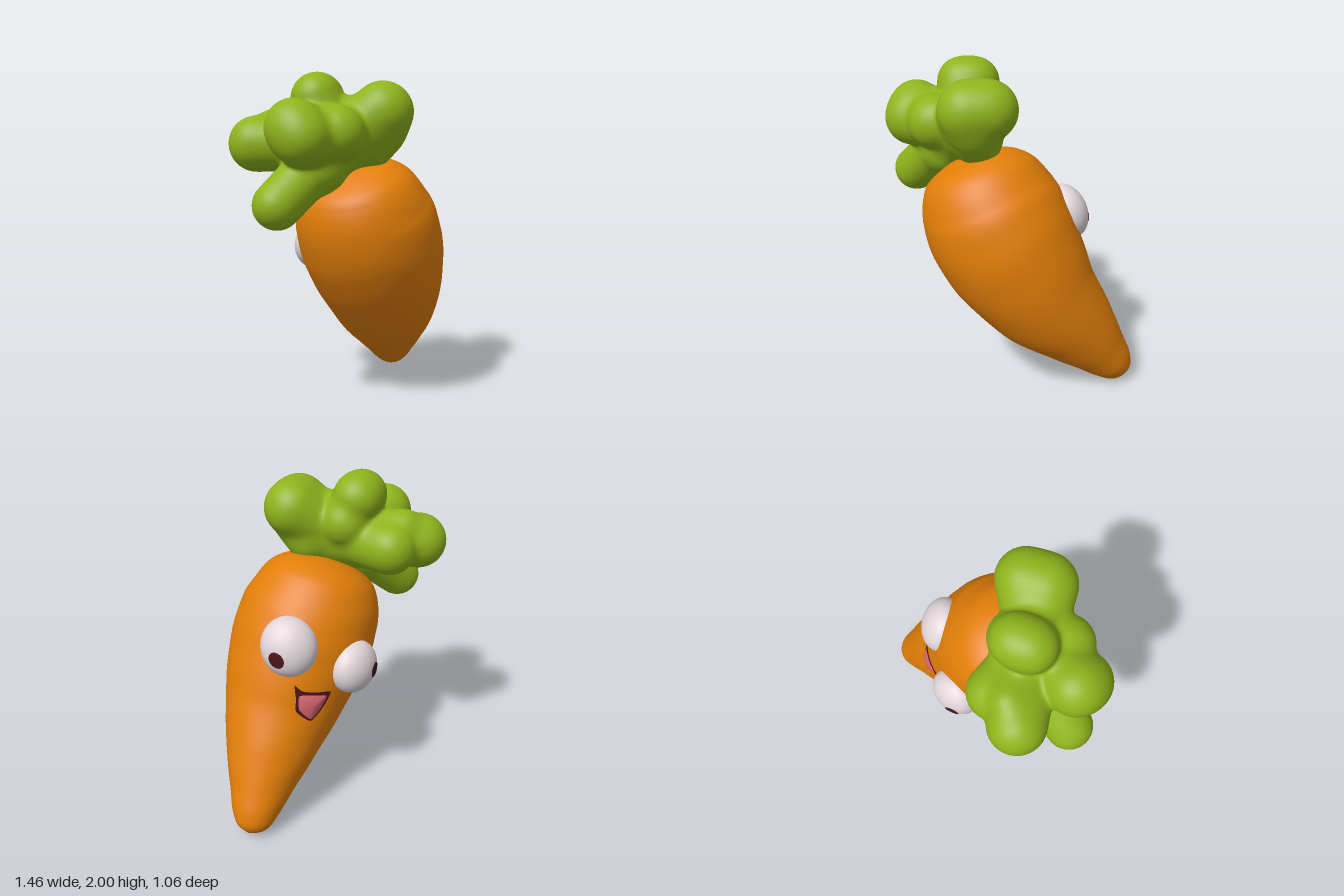
import * as THREE from 'three';
import { mergeVertices } from 'three/addons/utils/BufferGeometryUtils.js';

const V = (x, y, z) => new THREE.Vector3(x, y, z);
const paint = (name, color) => {
  const m = new THREE.MeshStandardMaterial({ color });
  m.name = name;
  return m;
};
// drops the seam so that normals run smoothly all around
const smooth = geometry => {
  geometry.deleteAttribute('uv');
  geometry.deleteAttribute('normal');
  const merged = mergeVertices(geometry, 1e-5);
  merged.computeVertexNormals();
  return merged;
};

export function createModel() {
  const orange = paint('carrot orange', 0xe27e08);
  const green = paint('leaf green', 0x8fb31c);
  const white = paint('eye white', 0xe0d5da);
  const dark = paint('dark maroon', 0x4a1519);
  const pink = paint('tongue pink', 0xcf626b);

  const model = new THREE.Group();
  const add = (parent, name, geometry, material) => {
    const mesh = new THREE.Mesh(geometry, material);
    mesh.name = name;
    parent.add(mesh);
    return mesh;
  };

  // Root: a lathe bent along a centre line, stations are [x, y, z, radius] from tip to crown
  const stations = [
    [0.665, 0.018, -0.46, 0], [0.65, 0.044, -0.445, 0.08], [0.615, 0.1, -0.407, 0.13],
    [0.55, 0.21, -0.33, 0.183], [0.45, 0.38, -0.212, 0.264], [0.31, 0.6, -0.06, 0.355],
    [0.18, 0.84, 0.045, 0.418], [0.083, 1.03, 0.1, 0.433], [0.012, 1.18, 0.125, 0.41],
    [-0.042, 1.32, 0.145, 0.35], [-0.07, 1.395, 0.155, 0.268], [-0.09, 1.445, 0.162, 0.13],
    [-0.096, 1.46, 0.164, 0],
  ];
  const spine = new THREE.CatmullRomCurve3(stations.map(s => V(s[0], s[1], s[2])), false, 'catmullrom');
  const girth = new THREE.CatmullRomCurve3(stations.map((s, i) => V(s[3], i, 0)), false, 'catmullrom');
  const profile = [];
  for (let i = 0; i <= 96; i++) profile.push(new THREE.Vector2(Math.max(0, girth.getPoint(i / 96).x), i / 96));
  const rootGeo = new THREE.LatheGeometry(profile, 64);
  const pos = rootGeo.attributes.position;
  for (let i = 0; i < pos.count; i++) {
    const x = pos.getX(i), t = pos.getY(i), z = pos.getZ(i);
    const T = spine.getTangent(t);
    const U = T.clone().cross(V(0, 0, 1)).normalize();
    const W = U.clone().cross(T);
    // faint growth rings, fading out at the crown
    const a = Math.atan2(x, z);
    const k = 1 + 0.006 * (1 - t) * Math.sin(70 * t + 2 * Math.sin(a) + Math.sin(3 * a));
    const p = spine.getPoint(t).addScaledVector(U, x * k).addScaledVector(W, z * k);
    pos.setXYZ(i, p.x, p.y, p.z);
  }
  const root = add(model, 'carrotRoot', smooth(rootGeo), orange);

  // Leaves: round lobes [x, y, z, radius] melting into one tuft around a core
  const core = V(-0.18, 1.58, 0.15), coreRadius = 0.15;
  const lobes = [
    // right front leaf
    [0.115, 1.765, 0.21, 0.17], [0.045, 1.76, 0.29, 0.178], [0.05, 1.66, 0.25, 0.16],
    // top leaf
    [-0.27, 1.84, 0.075, 0.145], [-0.215, 1.84, 0.02, 0.145], [-0.15, 1.7, 0.04, 0.15], [-0.11, 1.72, 0.17, 0.13],
    // left front leaf
    [-0.5, 1.67, 0.24, 0.165], [-0.48, 1.62, 0.29, 0.165], [-0.26, 1.64, 0.29, 0.16],
    // low left leaf
    [-0.59, 1.25, 0.2, 0.138], [-0.3, 1.44, 0.18, 0.15],
    // back leaf
    [-0.56, 1.58, -0.11, 0.162], [-0.35, 1.57, -0.15, 0.155], [-0.45, 1.67, -0.11, 0.11],
    // collar on the crown
    [0.01, 1.57, 0.2, 0.145],
  ].map(([x, y, z, r]) => ({ arm: V(x, y, z).sub(core), r }));
  const blend = 0.04;
  const tuftDistance = p => {
    let d = 10;
    for (const { arm, r } of lobes) {
      const t = THREE.MathUtils.clamp(p.dot(arm) / arm.lengthSq(), 0, 1);
      const e = p.distanceTo(arm.clone().multiplyScalar(t)) - THREE.MathUtils.lerp(coreRadius, r, t);
      const h = Math.max(blend - Math.abs(d - e), 0) / blend;
      d = Math.min(d, e) - h * h * blend / 4;
    }
    return d;
  };
  const tuftGeo = new THREE.SphereGeometry(1, 160, 110);
  const tuft = tuftGeo.attributes.position;
  for (let i = 0; i < tuft.count; i++) {
    const dir = V(0, 0, 0).fromBufferAttribute(tuft, i).normalize();
    let near = 0, far = 1.2;
    for (let n = 0; n < 18; n++) {
      const half = (near + far) / 2;
      if (tuftDistance(dir.clone().multiplyScalar(half)) < 0) near = half;
      else far = half;
    }
    dir.multiplyScalar(near).add(core);
    tuft.setXYZ(i, dir.x, dir.y, dir.z);
  }
  add(model, 'leaves', smooth(tuftGeo), green);

  // Eyes: flattened balls with a thin pupil cap
  const eye = (name, centre, normal, size, toPupil) => {
    const g = new THREE.Group();
    g.name = name;
    g.position.copy(centre);
    g.quaternion.setFromUnitVectors(V(0, 0, 1), normal.normalize());
    g.scale.copy(size);
    add(g, 'eyeball', new THREE.SphereGeometry(1, 40, 28), white);
    const pupil = add(g, 'pupil', new THREE.SphereGeometry(1.02, 28, 6, 0, Math.PI * 2, 0, 0.29), dark);
    const local = toPupil.applyQuaternion(g.quaternion.clone().invert()).divide(size).normalize();
    pupil.quaternion.setFromUnitVectors(V(0, 1, 0), local);
    model.add(g);
  };
  eye('leftEye', V(0.31, 1.1, -0.24), V(0.38, 0.33, -0.87), V(0.178, 0.165, 0.125), V(0.105, -0.03, -0.08));
  eye('rightEye', V(-0.068, 0.925, -0.3), V(-0.43, 0.1, -0.89), V(0.165, 0.155, 0.12), V(-0.115, -0.012, -0.075));

  // Mouth: patches laid over the root's surface, the tongue swelling in the middle
  root.updateMatrixWorld();
  const ray = new THREE.Raycaster();
  const patch = (name, outline, lift, swell, material) => {
    const curve = new THREE.CatmullRomCurve3(outline.map(p => V(p[0], p[1], 0)), true, 'catmullrom', 0.3);
    const rim = curve.getPoints(40).slice(0, 40);
    const mid = rim.reduce((s, p) => s.add(p), V(0, 0, 0)).divideScalar(40);
    const rings = 6, verts = [], index = [];
    for (let r = 0; r <= rings; r++) {
      const f = r / rings;
      for (let i = 0; i < 40; i++) {
        const p = mid.clone().lerp(rim[i], f);
        ray.set(V(p.x, p.y, -2), V(0, 0, 1));
        const hit = ray.intersectObject(root)[0];
        verts.push(p.x, p.y, (hit ? hit.point.z : -0.35) - lift - swell * (1 - f * f));
        if (r === rings) continue;
        const a = r * 40 + i, b = r * 40 + (i + 1) % 40;
        index.push(a, a + 40, b + 40);
        if (r > 0) index.push(a, b + 40, b);
      }
    }
    const geo = new THREE.BufferGeometry();
    geo.setAttribute('position', new THREE.Float32BufferAttribute(verts, 3));
    geo.setIndex(index);
    geo.computeVertexNormals();
    add(model, name, geo, material);
  };
  patch('mouth', [[0.32, 0.9], [0.32, 0.82], [0.325, 0.745], [0.24, 0.672], [0.16, 0.735], [0.105, 0.825], [0.2, 0.845], [0.28, 0.865]], 0.009, 0, dark);
  patch('tongue', [[0.3, 0.84], [0.307, 0.755], [0.24, 0.686], [0.175, 0.74], [0.135, 0.81], [0.215, 0.832]], 0.014, 0.02, pink);

  return model;
}
